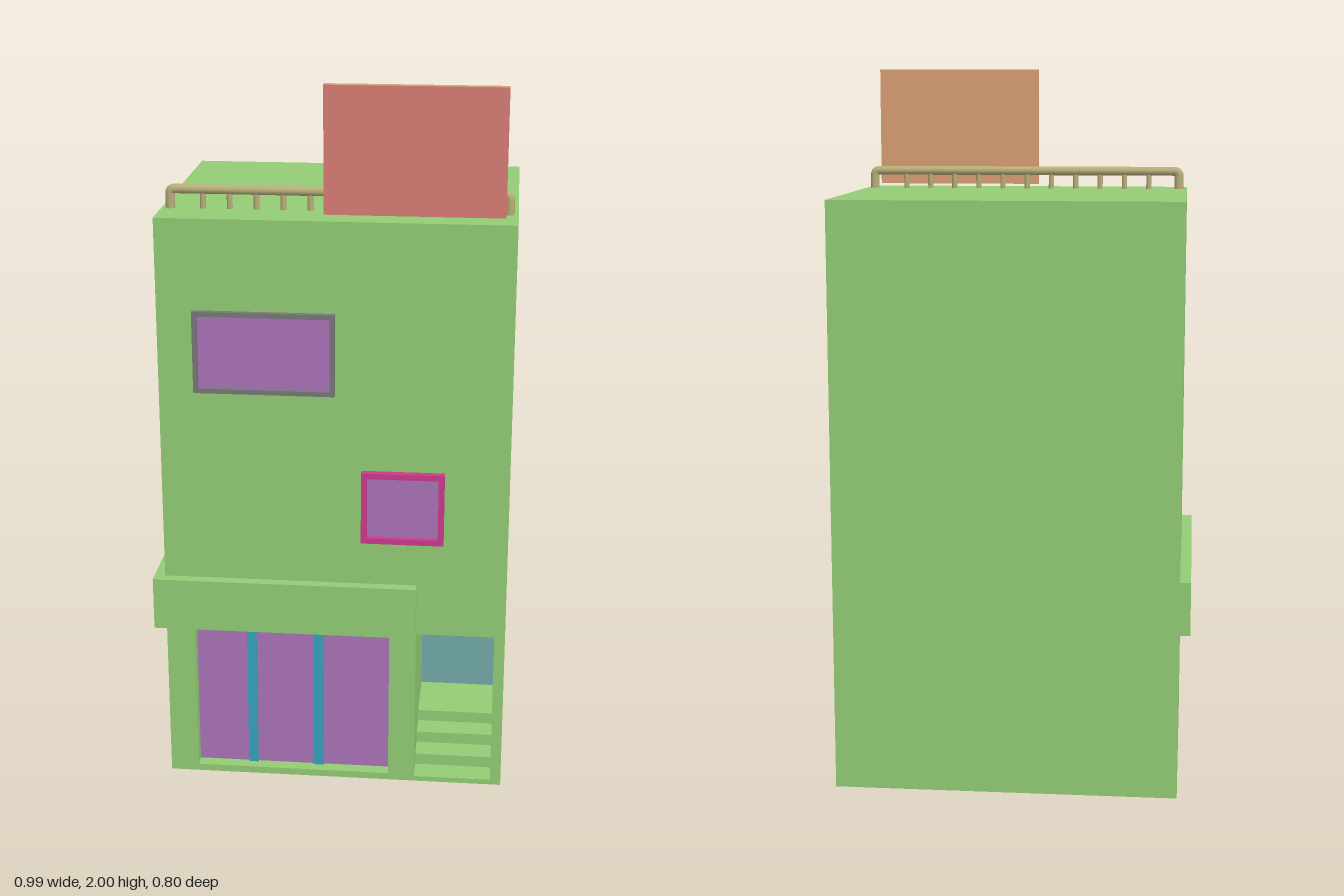
import * as THREE from 'three';

const paint = (hex, side = THREE.FrontSide) => new THREE.MeshStandardMaterial({ color: hex, side });
const GREEN = paint(0x92cc75), PURPLE = paint(0xaa73b9), TEAL = paint(0x35a3bd), BLUE = paint(0x72aaa8);
const GREY = paint(0x777777), PINK = paint(0xcc3a8c), ORANGE = paint(0xd99e74), RED = paint(0xd87c75);
const SAND = paint(0xb8ad7a);

function add(parent, name, geometry, material) {
  const mesh = new THREE.Mesh(geometry, material);
  mesh.name = name;
  parent.add(mesh);
  return mesh;
}

// Box given by its minimum and maximum on each axis
function box(parent, name, material, x0, x1, y0, y1, z0, z1) {
  const m = add(parent, name, new THREE.BoxGeometry(x1 - x0, y1 - y0, z1 - z0), material);
  m.position.set((x0 + x1) / 2, (y0 + y1) / 2, (z0 + z1) / 2);
  return m;
}

function trace(path, [x0, x1, y0, y1]) {
  path.moveTo(x0, y0);
  path.lineTo(x1, y0);
  path.lineTo(x1, y1);
  path.lineTo(x0, y1);
  path.closePath();
  return path;
}

// Rectangular slab with rectangular openings, from z0 to z1
function slab(parent, name, material, outline, openings, z0, z1) {
  const shape = trace(new THREE.Shape(), outline);
  openings.forEach(o => shape.holes.push(trace(new THREE.Path(), o)));
  const geometry = new THREE.ExtrudeGeometry(shape, { depth: z1 - z0, bevelEnabled: false });
  geometry.translate(0, 0, z0);
  return add(parent, name, geometry, material);
}

// Projecting frame with a recessed pane
function makeWindow(parent, name, material, [x0, x1, y0, y1], t, z1) {
  const g = new THREE.Group();
  g.name = name;
  parent.add(g);
  const inner = [x0 + t, x1 - t, y0 + t, y1 - t];
  slab(g, 'windowFrame', material, [x0, x1, y0, y1], [inner], 0.365, z1);
  box(g, 'windowPane', PURPLE, ...inner, 0.36, 0.375);
}

export function createModel() {
  const model = new THREE.Group();
  model.name = 'shopBuilding';

  // Building: front layer with both openings, middle with the stairwell, solid back
  const wall = [-0.465, 0.495, 0, 1.65];
  const door = [-0.385, 0.17, 0.02, 0.47];
  const stair = [0.245, 0.465, 0.015, 0.47];
  const body = new THREE.Group();
  body.name = 'building';
  model.add(body);
  slab(body, 'frontWall', GREEN, wall, [door, stair], 0.325, 0.37);
  slab(body, 'stairwellWalls', GREEN, wall, [stair], -0.03, 0.325);
  box(body, 'rearBlock', GREEN, ...wall, -0.4, -0.03);

  // Stairs leading to a panel at the back of the stairwell
  for (let i = 0; i < 3; i++) {
    box(model, 'step', GREEN, 0.245, 0.465, 0.015 + i * 0.0335, 0.0485 + i * 0.0335, -0.03, 0.3 - i * 0.07);
  }
  box(model, 'stairwellPanel', BLUE, 0.245, 0.465, 0.115, 0.47, -0.03, -0.02);

  // Glazed shop front
  const panes = [[-0.385, -0.24], [-0.213, -0.05], [-0.02, 0.17]];
  panes.forEach(([a, b]) => box(model, 'shopPane', PURPLE, a, b, 0.02, 0.47, 0.325, 0.333));
  [[-0.24, -0.213], [-0.05, -0.02]].forEach(([a, b]) => box(model, 'mullion', TEAL, a, b, 0.02, 0.47, 0.325, 0.34));

  // Band across the front, returning along one side
  box(model, 'frontBand', GREEN, -0.495, 0.245, 0.47, 0.62, 0.37, 0.4);
  box(model, 'sideBand', GREEN, -0.495, -0.465, 0.47, 0.62, -0.4, 0.37);

  makeWindow(model, 'upperWindow', GREY, [-0.367, 0.017, 1.172, 1.4], 0.013, 0.387);
  makeWindow(model, 'lowerWindow', PINK, [0.09, 0.318, 0.75, 0.957], 0.016, 0.391);

  // Rooftop board with a coloured front
  box(model, 'board', ORANGE, -0.016, 0.463, 1.66, 2, 0.308, 0.332);
  box(model, 'boardFace', RED, -0.016, 0.463, 1.66, 2, 0.332, 0.334);

  // Railing: a pipe bent down at both ends, with thin posts between
  const railing = new THREE.Group();
  railing.name = 'railing';
  railing.position.z = 0.242;
  model.add(railing);
  const v = (x, y) => new THREE.Vector3(x, y, 0);
  const [a, b, top, r] = [-0.441, 0.471, 1.702, 0.014];
  const path = new THREE.CurvePath();
  path.add(new THREE.LineCurve3(v(a, 1.65), v(a, top - r)));
  path.add(new THREE.QuadraticBezierCurve3(v(a, top - r), v(a, top), v(a + r, top)));
  path.add(new THREE.LineCurve3(v(a + r, top), v(b - r, top)));
  path.add(new THREE.QuadraticBezierCurve3(v(b - r, top), v(b, top), v(b, top - r)));
  path.add(new THREE.LineCurve3(v(b, top - r), v(b, 1.65)));
  add(railing, 'handrail', new THREE.TubeGeometry(path, 300, 0.013, 12), SAND);
  for (let i = 0; i < 11; i++) {
    const post = add(railing, 'railPost', new THREE.CylinderGeometry(0.008, 0.008, 0.052, 12), SAND);
    post.position.set(-0.352 + i * 0.0727, 1.676, 0);
  }

  return model;
}
